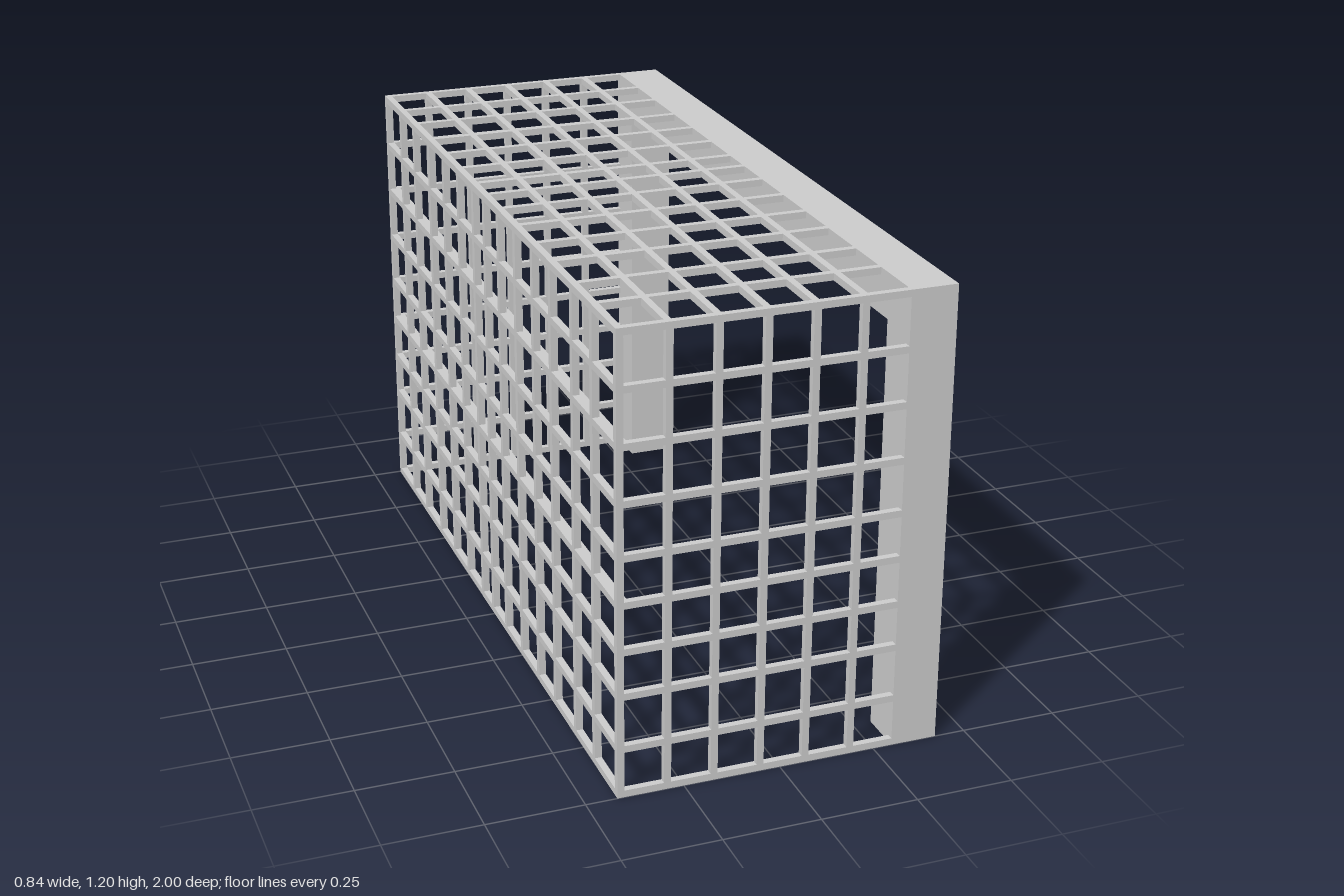
import * as THREE from 'three';

export function createModel() {
  const model = new THREE.Group();
  const material = new THREE.MeshStandardMaterial({ color: 0xcccccc, flatShading: true });

  // Box given by its low and high limits on each axis
  function box(parent, name, [x0, x1], [y0, y1], [z0, z1]) {
    const mesh = new THREE.Mesh(new THREE.BoxGeometry(x1 - x0, y1 - y0, z1 - z0), material);
    mesh.position.set((x0 + x1) / 2, (y0 + y1) / 2, (z0 + z1) / 2);
    mesh.name = name;
    parent.add(mesh);
  }
  function group(name) {
    const g = new THREE.Group();
    g.name = name;
    model.add(g);
    return g;
  }
  const T = 0.018; // bar thickness
  const around = (c) => [c - T / 2, c + T / 2];

  // Outer limits, and where the net meets the frame
  const X = 0.42, H = 1.2, Z = 1, netX = 0.3;
  const back = [-X, -X + T], top = [H - T, H];

  // Bar positions along each axis
  const xs = [-0.411, -0.292, -0.172, -0.052, 0.067, 0.187];
  const ys = [0.009, 0.131, 0.272, 0.39, 0.512, 0.633, 0.77, 0.912, 1.052, 1.191];
  const zs = [-0.991, -0.833, -0.692, -0.534, -0.392, -0.252, -0.112, -0.013,
    0.108, 0.248, 0.389, 0.527, 0.687, 0.828, 0.991];

  // Heavy goal frame
  const frame = group('goalFrame');
  box(frame, 'leftPost', [netX, X], [0, 1.085], [-Z, -0.88]);
  box(frame, 'rightPost', [netX, X], [0, 1.085], [0.88, Z]);
  box(frame, 'crossbar', [netX, X], [1.085, H], [-Z, Z]);

  // Back net; two rows are deeper stiffening rails
  const backNet = group('backNet');
  for (const z of zs) box(backNet, 'backUpright', back, [0, H], around(z));
  for (const y of ys) {
    const deep = y === 0.512 || y === 0.912;
    box(backNet, deep ? 'backRail' : 'backBar', [-X, deep ? -0.39 : back[1]], around(y), [-Z, Z]);
  }

  // Side nets, mirrored front to back
  for (const s of [-1, 1]) {
    const sideNet = group(s > 0 ? 'frontSideNet' : 'rearSideNet');
    const depth = around(s * (Z - T / 2));
    for (const x of xs.slice(1)) box(sideNet, 'sideUpright', around(x), [0, H], depth);
    for (const y of ys) box(sideNet, 'sideBar', [-X, netX], around(y), depth);
  }

  // Roof net
  const roofNet = group('roofNet');
  for (const x of xs.slice(1)) box(roofNet, 'roofLongBar', around(x), top, [-Z, Z]);
  for (const z of zs.slice(1, -1)) box(roofNet, 'roofCrossBar', [-X, netX], top, around(z));

  return model;
}
